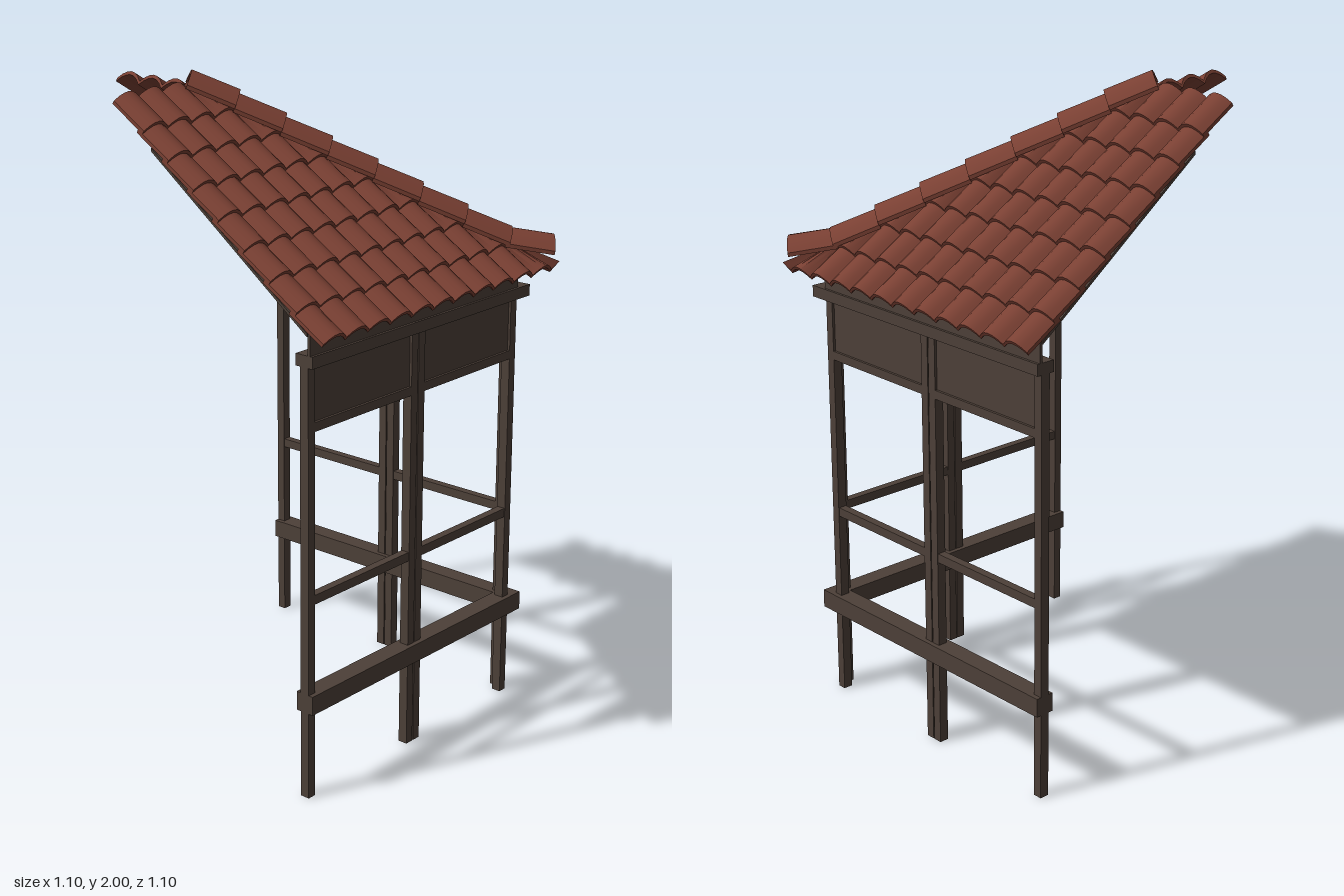
import * as THREE from 'three';
import { mergeGeometries, toCreasedNormals } from 'three/addons/utils/BufferGeometryUtils.js';

const PITCH = 0.095;                       // tile spacing, seen from above
const SLOPE = 0.735, ANGLE = Math.atan(SLOPE);
const EAVE = 0.495;
const roofY = (z) => 1.374 + SLOPE * (EAVE - z);

// Arched tile: lower end at the origin, running back along -z, narrowing by taper
function archTile(width, rise, thick, length, taper = 0) {
  const n = 6, outer = [], inner = [];
  for (let i = 0; i <= n; i++) {
    const u = (2 * i) / n - 1, y = rise * (1 - u * u);
    outer.push(new THREE.Vector2((u * width) / 2, y));
    inner.unshift(new THREE.Vector2((u * width) / 2, y - thick));
  }
  const geo = new THREE.ExtrudeGeometry(new THREE.Shape([...outer, ...inner]), { depth: length, bevelEnabled: false });
  geo.translate(0, 0, -length);
  const p = geo.attributes.position;
  for (let i = 0; i < p.count; i++) p.setX(i, p.getX(i) * (1 + (taper * p.getZ(i)) / length));
  return geo;
}

function box(x0, x1, y0, y1, z0, z1) {
  return new THREE.BoxGeometry(x1 - x0, y1 - y0, z1 - z0)
    .translate((x0 + x1) / 2, (y0 + y1) / 2, (z0 + z1) / 2);
}

// Reflects a geometry across the corner plane x = z, keeping faces outward
function mirrored(source) {
  const geo = source.index ? source.toNonIndexed() : source.clone();
  for (const name of ['position', 'normal']) {
    const a = geo.attributes[name], old = a.clone();
    for (let i = 0; i < a.count; i++) {
      const j = i % 3 === 0 ? i : i % 3 === 1 ? i + 1 : i - 1;
      a.setXYZ(i, old.getZ(j), old.getY(j), old.getX(j));
    }
  }
  return geo;
}

// All tiles of the front slope, cut off along the hip
function slopeTiles() {
  const tiles = [];
  for (let row = 0; row < 8; row++) {
    const z = EAVE - row * PITCH;
    for (let col = 0; col < 12; col++) {
      const x = -0.55 + col * PITCH;
      if (x >= z) break;
      const tile = archTile(PITCH, 0.027, 0.011, 0.138);
      tile.rotateX(-0.09).translate(0, 0.014, 0).rotateX(ANGLE).translate(x + PITCH / 2, roofY(z), z);
      const p = tile.attributes.position;
      for (let i = 0; i < p.count; i++) p.setX(i, Math.min(p.getX(i), p.getZ(i)));
      tiles.push(tile);
    }
  }
  return toCreasedNormals(mergeGeometries(tiles), 0.7);
}

// Flat boarding under the front slope
function slopeBoarding() {
  const outline = [[-0.545, 0.44], [0.44, 0.44], [-0.14, -0.14], [-0.545, -0.14]];
  const shape = new THREE.Shape(outline.map(([x, z]) => new THREE.Vector2(x, z)));
  const geo = new THREE.ExtrudeGeometry(shape, { depth: 0.01, bevelEnabled: false }).rotateX(Math.PI / 2);
  const p = geo.attributes.position;
  for (let i = 0; i < p.count; i++) p.setY(i, p.getY(i) + roofY(p.getZ(i)) - 0.012);
  geo.computeVertexNormals();
  return geo;
}

// Ridge of overlapping caps along the hip, the last one kicked up
function hipCaps() {
  const caps = [], count = 8, step = 0.0955;
  const pitch = Math.atan(SLOPE / Math.SQRT2);
  for (let k = 0; k < count; k++) {
    const last = k === count - 1;
    const s = -0.265 + (k + 1) * step;
    const cap = archTile(last ? 0.132 : 0.128, 0.038, 0.012, 0.152, last ? 0.06 : 0.12);
    cap.rotateX(last ? 0.17 : pitch - 0.08).rotateY(Math.PI / 4);
    cap.translate(s, roofY(s) + (last ? 0.085 : 0.043), s);
    caps.push(cap);
  }
  return toCreasedNormals(mergeGeometries(caps), 0.7);
}

export function createModel() {
  const model = new THREE.Group();
  model.name = 'cornerRoofStructure';
  const wood = new THREE.MeshStandardMaterial({ color: 0x4d4038 });
  const clay = new THREE.MeshStandardMaterial({ color: 0x7a4033 });

  const add = (name, geo, material) => {
    const mesh = new THREE.Mesh(geo, material);
    mesh.name = name;
    model.add(mesh);
  };
  // Adds a part to the front side and its reflection to the left side
  const addBoth = (name, geo, material) => {
    add(name + 'Front', geo, material);
    add(name + 'Side', mirrored(geo), material);
  };

  // Two framed bays per side
  for (const [a, b] of [[-0.54, -0.064], [-0.06, 0.41]]) {
    const w = 0.028;
    addBoth('post', box(a, a + w, 0, 1.31, 0.41, 0.44), wood);
    addBoth('post', box(b - w, b, 0, 1.31, 0.41, 0.44), wood);
    addBoth('handRail', box(a + w, b - w, 0.6, 0.628, 0.412, 0.438), wood);
    addBoth('panelSill', box(a + w, b - w, 1.115, 1.142, 0.41, 0.44), wood);
    addBoth('panel', box(a + w, b - w, 1.142, 1.305, 0.418, 0.432), wood);
  }

  // Long beams and the fascia under the eaves
  addBoth('floorBeam', box(-0.54, 0.455, 0.27, 0.328, 0.395, 0.455), wood);
  addBoth('topBeam', box(-0.54, 0.455, 1.303, 1.338, 0.395, 0.455), wood);
  addBoth('fascia', box(-0.54, 0.405, 1.338, 1.405, 0.437, 0.447), wood);

  // Roof
  addBoth('roofBoarding', slopeBoarding(), wood);
  addBoth('roofTiles', slopeTiles(), clay);
  add('hipCaps', hipCaps(), clay);
  return model;
}
